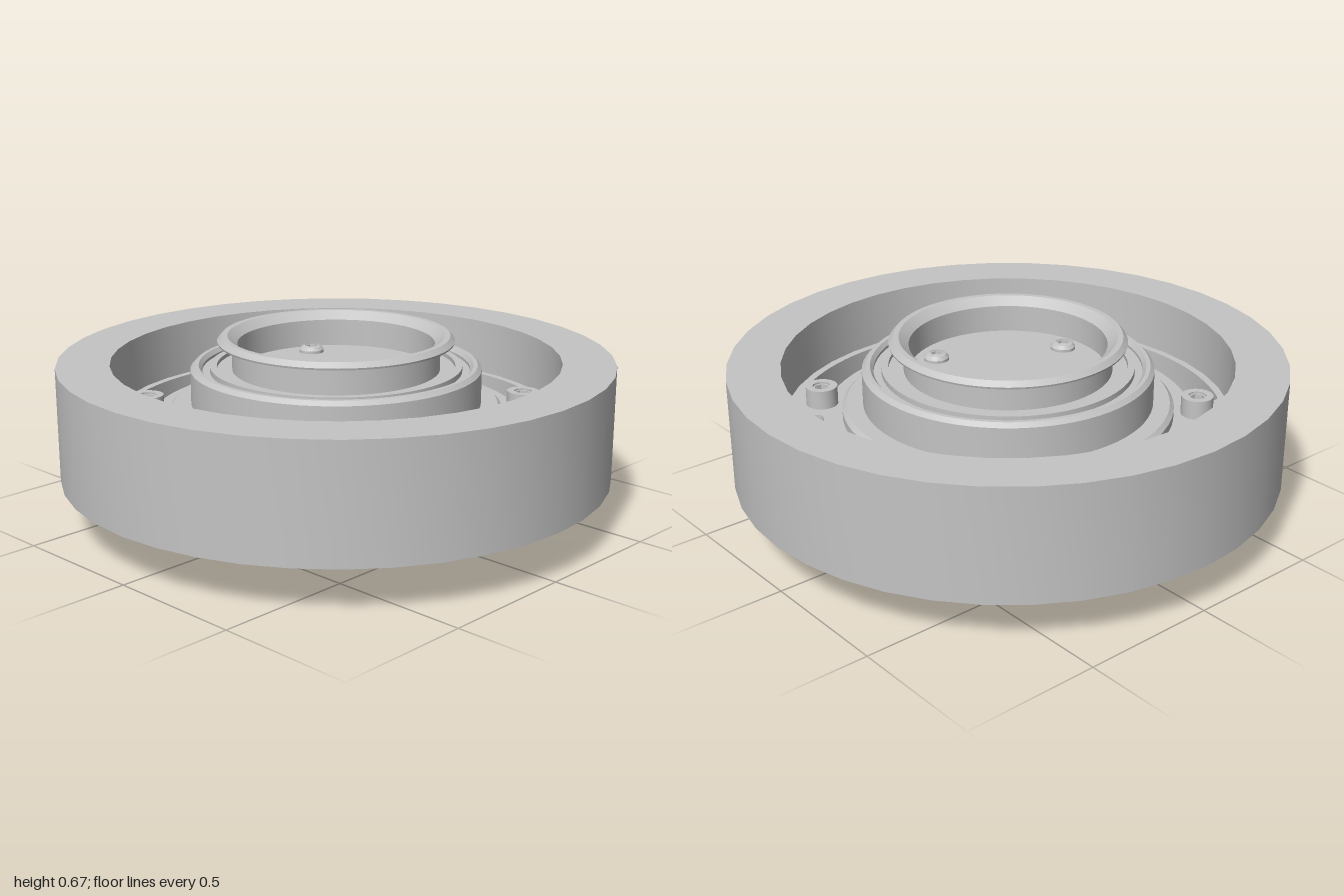
import * as THREE from 'three';
import { toCreasedNormals } from 'three/addons/utils/BufferGeometryUtils.js';

const RAD = Math.PI / 180;
const SCREW_ANGLE = -16.2; // first flange screw, measured from +x towards +z
const grey = new THREE.MeshStandardMaterial({ color: 0xc4c4c4 });
grey.name = 'machined grey';

// Plan-view point: radius and angle in degrees from +x towards +z
const polar = (r, deg) => new THREE.Vector2(r * Math.cos(deg * RAD), -r * Math.sin(deg * RAD));

function add(parent, name, geometry) {
  const mesh = new THREE.Mesh(toCreasedNormals(geometry, 0.5), grey);
  mesh.name = name;
  parent.add(mesh);
}

function lathe(points, segments) {
  return new THREE.LatheGeometry(points.map(([r, y]) => new THREE.Vector2(r, y)), segments);
}

// Extrude a plan-view shape upwards between two heights
function plate(shape, y0, y1) {
  const g = new THREE.ExtrudeGeometry(shape, { depth: y1 - y0, bevelEnabled: false });
  return g.rotateX(-Math.PI / 2).translate(0, y0, 0);
}

// All outlines and holes run counter-clockwise so that every wall faces outwards
function circlePoints(r, n, c = new THREE.Vector2()) {
  return Array.from({ length: n }, (_, i) => polar(r, (-i * 360) / n).add(c));
}

const hole = (r, n, c) => new THREE.Path(circlePoints(r, n, c));

// Annular sector with rounded corners
function sectorPoints(r0, r1, a0, a1, round) {
  const pts = [];
  const corner = (r, a, dr, da, entering) => {
    const onArc = polar(r, a + (da * round) / r / RAD);
    const onEnd = polar(r + dr * round, a);
    const [from, to] = entering ? [onEnd, onArc] : [onArc, onEnd];
    pts.push(...new THREE.QuadraticBezierCurve(from, polar(r, a), to).getPoints(5));
  };
  const arc = (r, from, to) => {
    const inset = (round / r / RAD) * Math.sign(to - from);
    const steps = Math.ceil(Math.abs(to - from) / 4);
    for (let i = 1; i < steps; i++) {
      pts.push(polar(r, THREE.MathUtils.lerp(from + inset, to - inset, i / steps)));
    }
  };
  corner(r1, a0, -1, 1, true);
  arc(r1, a0, a1);
  corner(r1, a1, -1, -1, false);
  corner(r0, a1, 1, -1, true);
  arc(r0, a1, a0);
  corner(r0, a0, 1, 1, false);
  return pts.reverse();
}

// Screw head: turned outside, round recess, and a core with a hexagonal socket
function screw(name, outside, height, recess) {
  const group = new THREE.Group();
  group.name = name;
  add(group, 'screwHead', lathe([...outside, [recess, height], [recess, 0]], 28));
  const core = new THREE.Shape(circlePoints(recess, 28));
  core.holes.push(hole(recess * 0.85, 6));
  add(group, 'socket', plate(core, 0, height * 0.9));
  add(group, 'socketFloor', new THREE.CylinderGeometry(recess, recess, 0.008, 12)
    .translate(0, height * 0.35, 0));
  return group;
}

export function createModel() {
  const model = new THREE.Group();
  model.name = 'flangedHub';

  // Heavy outer rim
  add(model, 'outerRim', lathe(
    [[0.81, 0.17], [1, 0.17], [1, 0.585], [0.81, 0.585], [0.81, 0.17]], 40));

  // Web between rim and hub, with six curved slots
  const web = new THREE.Shape(circlePoints(0.815, 90));
  web.holes.push(hole(0.58, 72));
  for (let i = 0; i < 6; i++) {
    const mid = SCREW_ANGLE + 30 + i * 60;
    web.holes.push(new THREE.Path(sectorPoints(0.668, 0.78, mid - 21.5, mid + 21.5, 0.035)));
  }
  add(model, 'slottedWeb', plate(web, 0.3, 0.38));

  // Flange body with six bolt lobes
  const outline = [];
  for (let a = 0; a < 360; a += 0.75) {
    const off = Math.abs(((a + 30) % 60) - 30);
    const lobe = 1 - THREE.MathUtils.smoothstep(off, 3, 9);
    outline.push(polar(0.665 + 0.078 * lobe, SCREW_ANGLE - a));
  }
  const flange = new THREE.Shape(outline);
  flange.holes.push(hole(0.6, 72));
  for (let i = 0; i < 6; i++) {
    const a = SCREW_ANGLE + i * 60;
    flange.holes.push(hole(0.022, 14, polar(0.683, a)));
    flange.holes.push(hole(0.017, 14, polar(0.632, a + 30)));
  }
  add(model, 'lobedFlange', plate(flange, 0.1, 0.32));

  // Turned hub: stepped underside, drum, grooves, neck, lip and recessed floor
  add(model, 'turnedHub', lathe([
    [0, 0.5], [0.23, 0.5], [0.23, 0.2], [0.38, 0.2], [0.38, 0.1],
    [0.5, 0.1], [0.5, 0.12], [0.53, 0.12], [0.53, 0.11], [0.565, 0.11], [0.565, 0.1], [0.6, 0.1],
    [0.6, 0.41], [0.585, 0.425], [0.525, 0.425], [0.525, 0.55], [0.51, 0.565],
    [0.495, 0.565], [0.483, 0.55], [0.483, 0.54], [0.455, 0.54], [0.455, 0.56],
    [0.43, 0.56], [0.43, 0.545], [0.375, 0.545], [0.375, 0.645], [0.425, 0.645], [0.427, 0.652],
    [0.41, 0.67], [0.39, 0.67], [0.355, 0.64], [0.355, 0.54], [0, 0.54],
  ], 72));

  // Open locating collar underneath
  const collar = new THREE.Shape(sectorPoints(0.38, 0.482, 168, 413, 0.03));
  for (const a of [174, 215, 305, 404]) collar.holes.push(hole(0.02, 14, polar(0.43, a)));
  add(model, 'openCollar', plate(collar, 0, 0.1));

  // Flange screws
  for (let i = 0; i < 6; i++) {
    const p = polar(0.683, SCREW_ANGLE + i * 60);
    const s = screw('flangeScrew', [[0.058, 0], [0.058, 0.07]], 0.07, 0.032);
    s.position.set(p.x, 0.38, -p.y);
    model.add(s);
  }

  // Button screws on the recessed floor
  for (const a of [-64, 57, 178]) {
    const p = polar(0.273, a);
    const s = screw('floorScrew', [[0.046, 0], [0.046, 0.01], [0.036, 0.022]], 0.025, 0.024);
    s.position.set(p.x, 0.54, -p.y);
    model.add(s);
  }

  return model;
}
